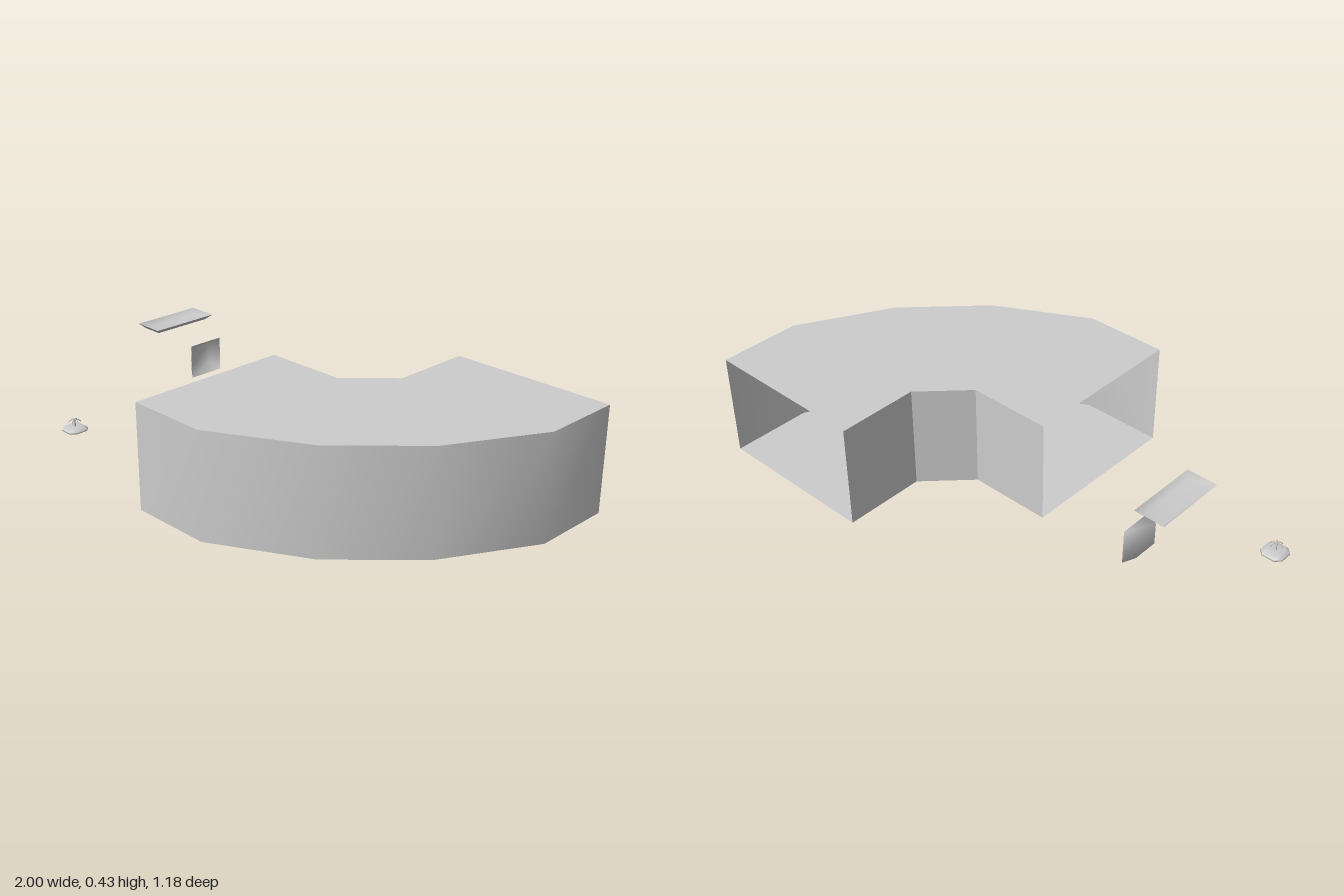
import * as THREE from 'three';

const HEIGHT = 0.43;
const material = new THREE.MeshStandardMaterial({ color: 0xcccccc, side: THREE.DoubleSide });

// Skins rows of [x, y, z] points; closed joins each row into a ring, cap fills the last ring.
function skin(rows, { closed = true, cap = false } = {}) {
  const n = rows[0].length;
  const index = [];
  for (let r = 0; r < rows.length - 1; r++) {
    for (let i = 0; i < (closed ? n : n - 1); i++) {
      const a = r * n + i, b = r * n + (i + 1) % n;
      index.push(a, a + n, b, b, a + n, b + n);
    }
  }
  const last = (rows.length - 1) * n;
  if (cap) for (let i = 1; i < n - 1; i++) index.push(last, last + i + 1, last + i);
  const geometry = new THREE.BufferGeometry();
  geometry.setAttribute('position', new THREE.Float32BufferAttribute(rows.flat(2), 3));
  geometry.setIndex(index);
  geometry.computeVertexNormals();
  return geometry;
}

function flat(geometry) {
  const g = geometry.toNonIndexed();
  g.computeVertexNormals();
  return g;
}

function add(parent, name, geometry) {
  const mesh = new THREE.Mesh(geometry, material);
  mesh.name = name;
  parent.add(mesh);
  return mesh;
}

// Corridor bend, open at both ends
function createCorridor() {
  const group = new THREE.Group();
  group.name = 'corridorBend';
  const outer = [[1, -0.595], [1, -0.26], [0.8, 0.11], [0.52, 0.39], [0.15, 0.59], [-0.19, 0.59]];
  const inner = [[-0.19, -0.09], [0.15, -0.09], [0.32, -0.26], [0.32, -0.595]];
  const wall = (path) => skin([0, HEIGHT].map((y) => path.map(([x, z]) => [x, y, z])), { closed: false });
  add(group, 'outerWall', wall(outer));
  add(group, 'innerWall', flat(wall(inner)));

  const plan = new THREE.Shape([...outer, ...inner].map(([x, z]) => new THREE.Vector2(x, z)));
  add(group, 'floor', new THREE.ShapeGeometry(plan).rotateX(Math.PI / 2));
  add(group, 'ceiling', new THREE.ShapeGeometry(plan).rotateX(Math.PI / 2)).position.y = HEIGHT;
  return group;
}

// Shallow tray with an open top of w by d, tapering down to a smaller base
function trayGeometry(w, d, depth, insetX, insetZ) {
  const ring = (x, y, z) => [[-x, y, -z], [x, y, -z], [x, y, z], [-x, y, z]];
  return skin([ring(w / 2, 0, d / 2), ring(w / 2 - insetX, -depth, d / 2 - insetZ)], { cap: true });
}

// Six-armed head on a stem above a rounded square base
function createSprinkler() {
  const group = new THREE.Group();
  group.name = 'sprinkler';

  // Base plate with clipped corners
  const octagon = (s, y) => {
    const c = s * 0.55;
    return [[-c, -s], [c, -s], [s, -c], [s, c], [c, s], [-c, s], [-s, c], [-s, -c]]
      .map(([x, z]) => [x, y, z]);
  };
  add(group, 'basePlate', skin([octagon(0.04, 0), octagon(0.048, 0.005), octagon(0.046, 0.01),
    octagon(0.032, 0.02)], { cap: true }));
  add(group, 'baseUnderside', skin([octagon(0.04, 0), octagon(0.001, 0)], { cap: true }));

  const stem = add(group, 'stem', new THREE.CylinderGeometry(0.003, 0.005, 0.035, 8));
  stem.position.y = 0.035;

  // Drooping arms
  const curve = new THREE.QuadraticBezierCurve3(
    new THREE.Vector3(0, 0.052, 0),
    new THREE.Vector3(0.018, 0.053, 0),
    new THREE.Vector3(0.026, 0.038, 0));
  const armGeometry = new THREE.TubeGeometry(curve, 4, 0.002, 5);
  for (let i = 0; i < 6; i++) {
    add(group, 'arm', armGeometry).rotation.y = i * Math.PI / 3;
  }
  return group;
}

export function createModel() {
  const model = new THREE.Group();
  model.name = 'corridorKit';
  model.add(createCorridor());

  // Ceiling light recess, open upward
  add(model, 'ceilingLight', trayGeometry(0.125, 0.295, 0.02, 0.022, 0.022))
    .position.set(-0.782, HEIGHT, -0.088);

  // Wall recess, open toward +x
  const wallLight = add(model, 'wallRecess', trayGeometry(0.14, 0.155, 0.038, 0.027, 0.027));
  wallLight.rotation.z = -Math.PI / 2;
  wallLight.position.set(-0.694, 0.26, -0.172);

  const sprinkler = createSprinkler();
  sprinkler.position.set(-0.952, 0, 0.337);
  model.add(sprinkler);
  return model;
}
